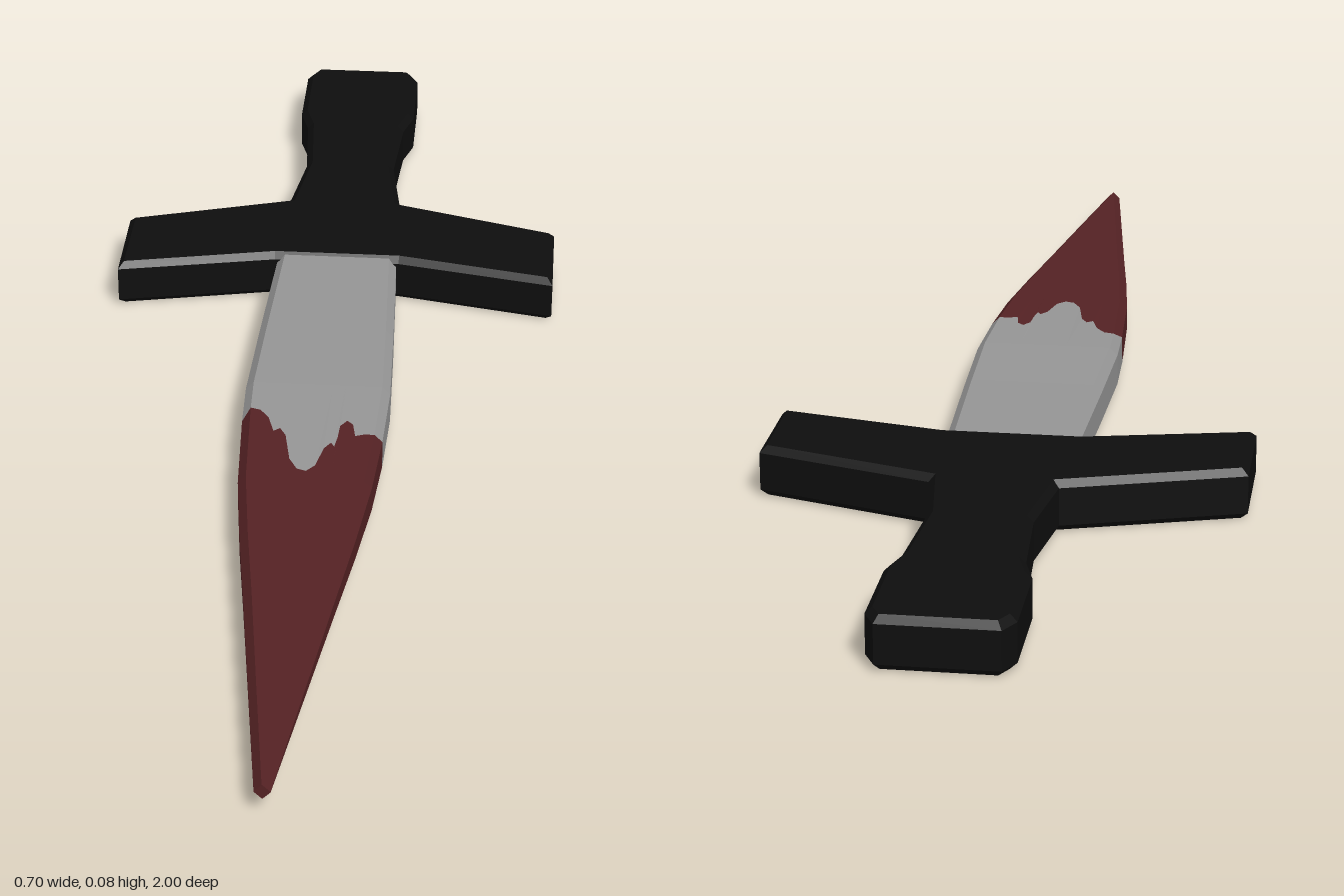
import * as THREE from 'three';

const steel = new THREE.MeshStandardMaterial({ color: 0x969696 });
steel.name = 'steel grey';
const stain = new THREE.MeshStandardMaterial({ color: 0x552224 });
stain.name = 'dark red';
const black = new THREE.MeshStandardMaterial({ color: 0x0e0e0e });
black.name = 'black';

const MID = 0.038; // height of the blade's centre line

// Blade sections: z, half width, half height, corner chamfer
const SECTIONS = [
  [-0.34, 0.096, 0.034, 0.012], [-0.1, 0.105, 0.035, 0.012], [0.07, 0.11, 0.036, 0.012],
  [0.2, 0.106, 0.034, 0.012], [0.32, 0.098, 0.031, 0.012], [0.45, 0.083, 0.027, 0.012],
  [0.6, 0.063, 0.023, 0.012], [0.8, 0.037, 0.017, 0.011], [1, 0.011, 0.011, 0.0105],
];

// Ragged edge of the stain across each broad face: [fraction of width, z]
const TOP_EDGE = [
  [0, 0.14], [0.08, 0.145], [0.15, 0.165], [0.2, 0.2], [0.25, 0.192], [0.3, 0.21], [0.35, 0.27],
  [0.42, 0.295], [0.5, 0.3], [0.57, 0.285], [0.62, 0.24], [0.67, 0.225], [0.7, 0.235],
  [0.715, 0.21], [0.72, 0.18], [0.77, 0.165], [0.82, 0.175], [0.85, 0.205], [0.92, 0.2], [1, 0.2],
];
const BOTTOM_EDGE = [
  [0, 0.15], [0.1, 0.15], [0.17, 0.19], [0.25, 0.18], [0.32, 0.24], [0.42, 0.28], [0.52, 0.27],
  [0.6, 0.21], [0.68, 0.23], [0.74, 0.17], [0.82, 0.18], [0.88, 0.21], [1, 0.2],
];

function sectionAt(z) {
  let i = 0;
  while (i < SECTIONS.length - 2 && z > SECTIONS[i + 1][0]) i++;
  const a = SECTIONS[i], b = SECTIONS[i + 1];
  const t = (z - a[0]) / (b[0] - a[0]);
  return [1, 2, 3].map((k) => THREE.MathUtils.lerp(a[k], b[k], t));
}

// Lines running along the blade, clockwise seen from the tip; each knows where the stain starts
const broad = (edge, sign) => edge.map(([u, z]) => ({
  edge: z, at: (w, h, c) => [(2 * u - 1) * (w - c), sign * h],
}));
const side = (sx, sy, z) => ({ edge: z, at: (w, h, c) => [sx * w, sy * (h - c)] });
const LINES = [
  ...broad(TOP_EDGE, 1), side(1, 1, 0.2), side(1, -1, 0.2),
  ...broad(BOTTOM_EDGE, -1).reverse(), side(-1, -1, 0.17), side(-1, 1, 0.16),
];

// Joins rings of points; a null ring follows the ragged stain edge
function bladePart(name, rings, material, capped) {
  const pos = [], index = [], n = LINES.length;
  for (const ring of rings) {
    for (const line of LINES) {
      const z = ring ?? line.edge;
      const [x, y] = line.at(...sectionAt(z));
      pos.push(x, y + MID, z);
    }
  }
  for (let i = 0; i < rings.length - 1; i++) {
    for (let j = 0; j < n; j++) {
      const k = (j + 1) % n;
      const a = i * n + j, b = i * n + k, c = a + n, d = b + n;
      index.push(a, c, b, b, c, d);
    }
  }
  if (capped) {
    const s = (rings.length - 1) * n;
    for (let j = 1; j < n - 1; j++) index.push(s, s + j + 1, s + j);
  }
  const indexed = new THREE.BufferGeometry();
  indexed.setAttribute('position', new THREE.Float32BufferAttribute(pos, 3));
  indexed.setIndex(index);
  const geometry = indexed.toNonIndexed();
  geometry.computeVertexNormals();
  const mesh = new THREE.Mesh(geometry, material);
  mesh.name = name;
  return mesh;
}

// Flat bevelled slab, mirrored from the outline of its +x half [x, z]
function slab(name, half) {
  const bevel = 0.01, height = 0.076;
  const mirrored = half.map(([x, z]) => [-x, z]).reverse();
  const shape = new THREE.Shape([...half, ...mirrored].map(([x, z]) => new THREE.Vector2(x, z)));
  const geometry = new THREE.ExtrudeGeometry(shape, {
    depth: height - 2 * bevel, bevelEnabled: true, bevelSegments: 1,
    bevelSize: bevel, bevelThickness: bevel, bevelOffset: -bevel,
  });
  geometry.rotateX(Math.PI / 2).translate(0, height - bevel, 0);
  const mesh = new THREE.Mesh(geometry, black);
  mesh.name = name;
  return mesh;
}

export function createModel() {
  const model = new THREE.Group();
  model.name = 'dagger';

  // Grip, pommel and crossguard in one piece
  model.add(slab('handleAndGuard', [
    [0.082, -1], [0.098, -0.97], [0.098, -0.83], [0.083, -0.78], [0.074, -0.64],
    [0.092, -0.51], [0.35, -0.43], [0.35, -0.268], [0.1, -0.32],
  ]));

  // Clean blade near the guard, stained blade out to the tip
  model.add(bladePart('cleanBlade', [-0.34, -0.1, 0.07, null], steel, false));
  model.add(bladePart('stainedBlade', [null, 0.32, 0.45, 0.6, 0.8, 1], stain, true));
  return model;
}
